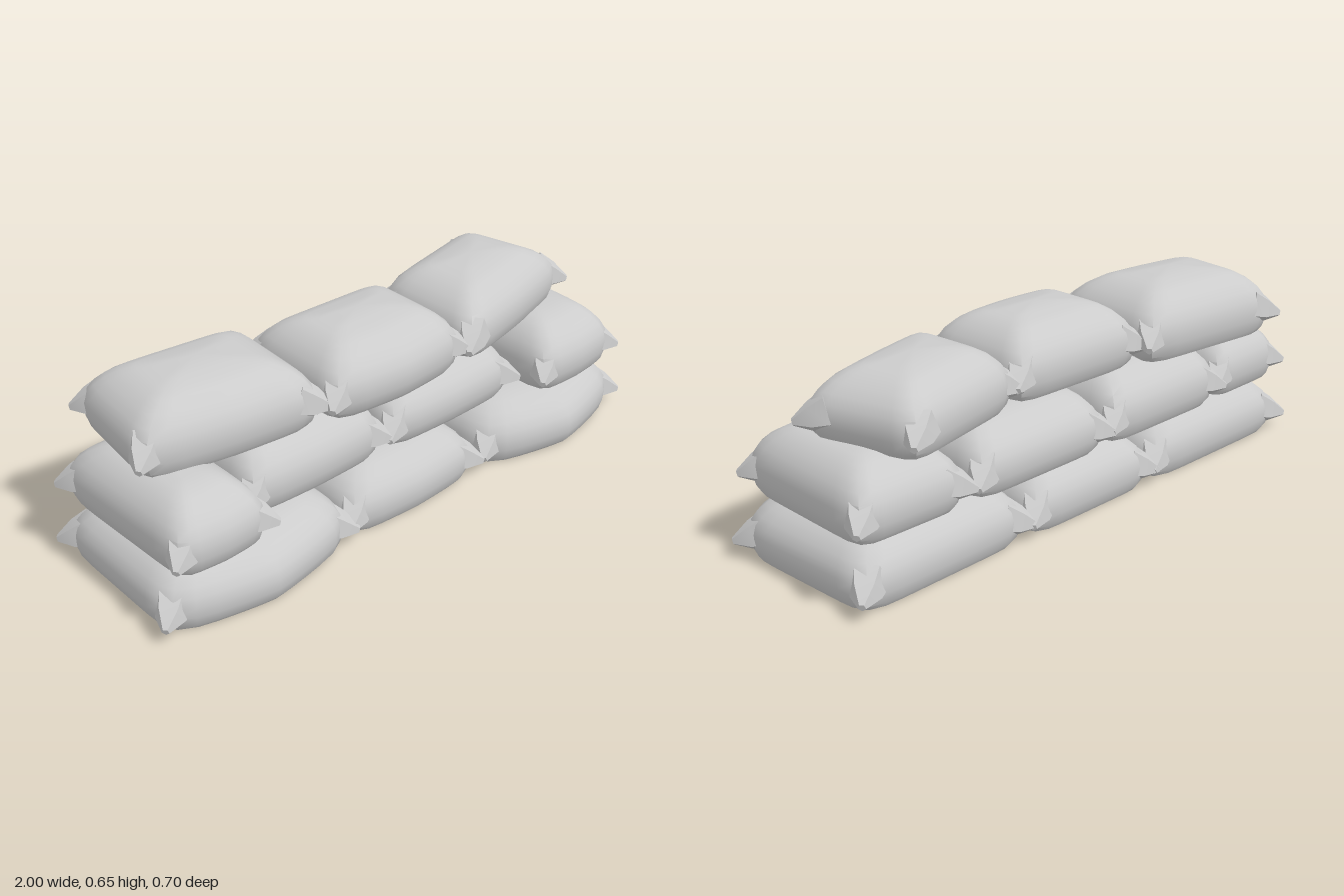
import * as THREE from 'three';
import { toCreasedNormals } from 'three/addons/utils/BufferGeometryUtils.js';

const material = new THREE.MeshStandardMaterial({ color: 0xcccccc });
const SIDES = 48;

// Height fraction and inset of each loop, from the flat base to the top edge
const PROFILE = [
  [0, 0.02], [0.08, 0.009], [0.25, 0], [0.42, 0], [0.56, 0.007], [0.69, 0.023],
  [0.81, 0.048], [0.91, 0.08], [0.965, 0.112], [0.985, 0.145],
];

// Maps u, v in -1..1 onto the plan of a bag; corners run
// back left, back right, front right, front left
function planPoint(corners, u, v, bulge) {
  const w = [(1 - u) * (1 - v), (1 + u) * (1 - v), (1 + u) * (1 + v), (1 - u) * (1 + v)];
  let x = 0, z = 0;
  corners.forEach(([cx, cz], i) => { x += cx * w[i] / 4; z += cz * w[i] / 4; });
  return [x, z + bulge * Math.max(0, v) * (1 - Math.abs(u) ** 1.25)];
}

// Filled sack: rounded-square loops that swell out and close over the top.
// round scales the insets along x and z; crown lifts the middle of the top.
function sackGeometry({ corners, y0, y1, bulge = 0.01, round = [1, 1], crown = 0 }) {
  const halfW = (corners[1][0] - corners[0][0] + corners[2][0] - corners[3][0]) / 4;
  const halfD = (corners[3][1] - corners[0][1] + corners[2][1] - corners[1][1]) / 4;
  const pos = [], index = [];
  for (const [t, inset] of PROFILE) {
    const su = 1 - inset * round[0] / halfW, sv = 1 - inset * round[1] / halfD;
    for (let i = 0; i < SIDES; i++) {
      const a = (i / SIDES) * Math.PI * 2, c = Math.cos(a), s = Math.sin(a);
      const r = (Math.abs(c) ** 9 + Math.abs(s) ** 9) ** (-1 / 9);
      const [x, z] = planPoint(corners, c * r * su, s * r * sv, bulge);
      pos.push(x, y0 + t * (y1 - crown - y0), z);
    }
  }
  const [mx, mz] = planPoint(corners, 0, 0, 0);
  pos.push(mx, y0, mz, mx, y1, mz);
  const bottom = PROFILE.length * SIDES, top = bottom + 1, last = bottom - SIDES;
  for (let i = 0; i < SIDES; i++) {
    const j = (i + 1) % SIDES;
    for (let k = 0; k < last; k += SIDES) {
      index.push(k + i, k + SIDES + i, k + j, k + j, k + SIDES + i, k + SIDES + j);
    }
    index.push(bottom, i, j, top, last + j, last + i);
  }
  const g = new THREE.BufferGeometry();
  g.setAttribute('position', new THREE.Float32BufferAttribute(pos, 3));
  g.setIndex(index);
  return toCreasedNormals(g, 0.7);
}

// Pinched corner tuft: a blunt five-sided cone along +z with one raised fold
function tuftGeometry() {
  const g = new THREE.CylinderGeometry(0.012, 0.062, 0.11, 5, 2).toNonIndexed();
  g.rotateX(Math.PI / 2);
  const p = g.attributes.position;
  for (let i = 0; i < p.count; i++) {
    const swell = Math.abs(p.getZ(i)) < 0.01 ? 1.3 : 1;
    const y = p.getY(i) * swell;
    p.setXY(i, p.getX(i) * swell, y > 0.045 ? y * 1.15 : y);
  }
  return toCreasedNormals(g, 0.6);
}

function makeBag(spec, tuft) {
  const bag = new THREE.Group();
  bag.name = spec.name;
  const sack = new THREE.Mesh(sackGeometry(spec), material);
  sack.name = 'sack';
  bag.add(sack);
  const [mx, mz] = planPoint(spec.corners, 0, 0, 0);
  spec.corners.forEach(([x, z], i) => {
    const ear = new THREE.Mesh(tuft, material);
    ear.name = 'cornerTuft' + (i + 1);
    const sx = Math.sign(x - mx), sz = Math.sign(z - mz);
    const y = spec.y0 + 0.32 * (spec.y1 - spec.y0);
    ear.position.set(x - sx * 0.022, y, z - sz * 0.025);
    ear.lookAt(x + sx * 0.075, y - 0.035, z + sz * 0.055);
    bag.add(ear);
  });
  return bag;
}

const rect = (x0, x1, z0, z1) => [[x0, z0], [x1, z0], [x1, z1], [x0, z1]];

const BAGS = [
  // Bottom course
  { name: 'bottomRightBag', corners: [[-0.965, -0.295], [-0.28, -0.295], [-0.28, 0.275], [-0.975, 0.27]], y0: 0, y1: 0.207, bulge: 0.075 },
  { name: 'bottomMiddleBag', corners: rect(-0.27, 0.285, -0.295, 0.265), y0: 0, y1: 0.205, bulge: 0.02 },
  { name: 'bottomLeftBag', corners: [[0.3, -0.29], [0.96, -0.3], [0.975, 0.265], [0.325, 0.265]], y0: 0, y1: 0.207, bulge: 0.085 },
  // Middle course
  { name: 'middleFarRightBag', corners: [[-0.955, -0.285], [-0.615, -0.29], [-0.61, 0.3], [-0.94, 0.295]], y0: 0.2, y1: 0.422, bulge: 0.015, round: [0.9, 1.15] },
  { name: 'middleInnerRightBag', corners: rect(-0.605, -0.065, -0.3, 0.195), y0: 0.2, y1: 0.422, round: [0.8, 1.1] },
  { name: 'middleInnerLeftBag', corners: rect(-0.045, 0.515, -0.3, 0.2), y0: 0.2, y1: 0.41, round: [0.8, 1.1] },
  { name: 'middleFarLeftBag', corners: [[0.55, -0.295], [0.955, -0.285], [0.935, 0.275], [0.57, 0.29]], y0: 0.2, y1: 0.422, bulge: 0.015, round: [0.9, 1.15] },
  // Top course, laid askew
  { name: 'topRightBag', corners: [[-0.85, -0.33], [-0.275, -0.265], [-0.3, 0.18], [-0.9, 0.085]], y0: 0.403, y1: 0.647, bulge: 0.015, round: [1.2, 1.05], crown: 0.014 },
  { name: 'topMiddleBag', corners: [[-0.28, -0.225], [0.26, -0.205], [0.26, 0.21], [-0.285, 0.205]], y0: 0.403, y1: 0.638, bulge: 0.028, round: [1.05, 1.1], crown: 0.012 },
  { name: 'topLeftBag', corners: [[0.265, -0.2], [0.76, -0.305], [0.87, 0.075], [0.275, 0.225]], y0: 0.403, y1: 0.627, bulge: 0.01, round: [1.15, 1], crown: 0.01 },
];

export function createModel() {
  const wall = new THREE.Group();
  wall.name = 'sandbagWall';
  const tuft = tuftGeometry();
  for (const spec of BAGS) wall.add(makeBag(spec, tuft));
  return wall;
}
